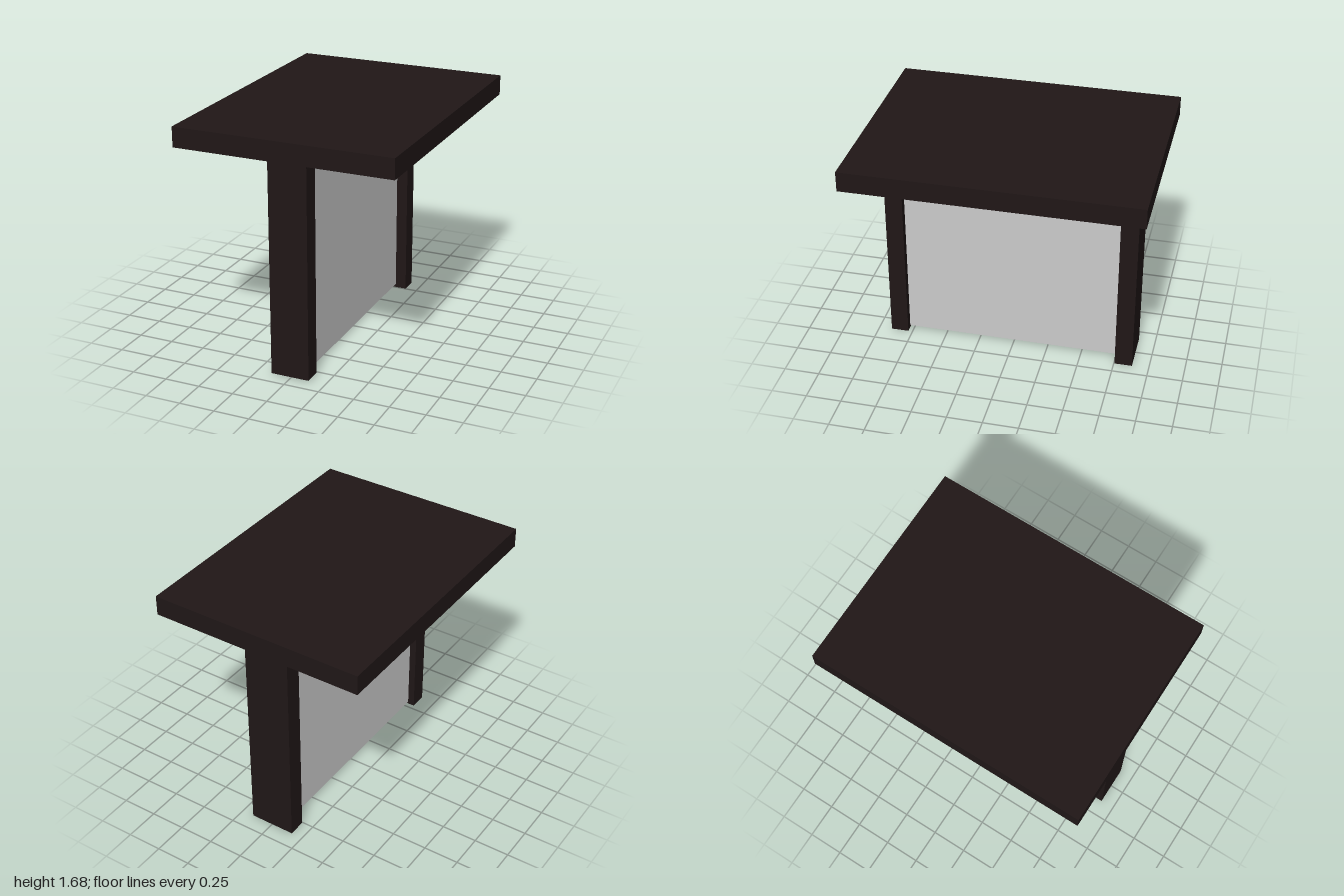
import * as THREE from 'three';

const dark = new THREE.MeshStandardMaterial({ color: 0x201717 });
const grey = new THREE.MeshStandardMaterial({ color: 0xcccccc });

// Box given by its extents along each axis
function block(name, material, [x0, x1], [y0, y1], [z0, z1]) {
  const mesh = new THREE.Mesh(new THREE.BoxGeometry(x1 - x0, y1 - y0, z1 - z0), material);
  mesh.position.set((x0 + x1) / 2, (y0 + y1) / 2, (z0 + z1) / 2);
  mesh.name = name;
  return mesh;
}

export function createModel() {
  const table = new THREE.Group();
  table.name = 'table';
  const underside = 1.54;

  table.add(
    // Thick overhanging slab
    block('tableTop', dark, [-0.767, 0.767], [underside, 1.68], [-1, 1]),
    // Upright planks; the back one is slightly wider and longer
    block('frontLeg', dark, [-0.14, 0.133], [0.008, underside], [0.778, 0.903]),
    block('backLeg', dark, [-0.165, 0.162], [0, underside], [-0.88, -0.755]),
    // Panel filling the space between the legs
    block('centrePanel', grey, [-0.09, 0.082], [0.025, underside], [-0.755, 0.778]),
  );
  return table;
}
